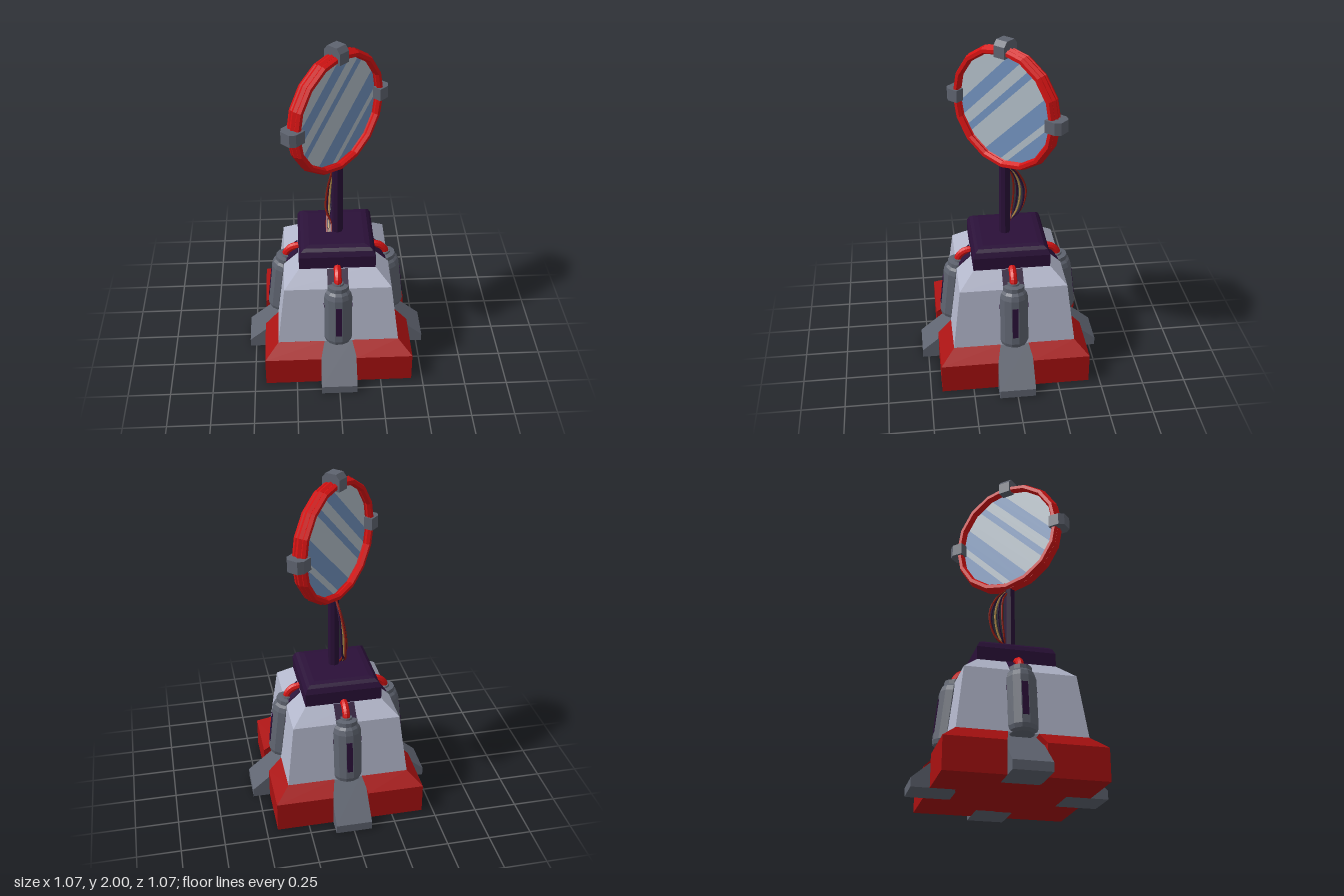
import * as THREE from 'three';

const mat = (name, color, extra = {}) =>
  Object.assign(new THREE.MeshStandardMaterial({ color, flatShading: true, ...extra }), { name });

// Closed solid through rectangular sections [y, x0, x1, z0, z1], bottom to top
function loft(sections) {
  const p = [];
  const rings = sections.map(([y, x0, x1, z0, z1]) => [[x0, y, z1], [x1, y, z1], [x1, y, z0], [x0, y, z0]]);
  const quad = (a, b, c, d) => p.push(...a, ...b, ...c, ...a, ...c, ...d);
  for (let i = 0; i < rings.length - 1; i++)
    for (let k = 0; k < 4; k++) {
      const n = (k + 1) % 4;
      quad(rings[i][k], rings[i][n], rings[i + 1][n], rings[i + 1][k]);
    }
  const [b, t] = [rings[0], rings[rings.length - 1]];
  quad(b[3], b[2], b[1], b[0]);
  quad(t[0], t[1], t[2], t[3]);
  const g = new THREE.BufferGeometry();
  g.setAttribute('position', new THREE.Float32BufferAttribute(p, 3));
  g.computeVertexNormals();
  return g;
}
const square = (y, h) => [y, -h, h, -h, h];
const v3 = (a) => new THREE.Vector3(...a);
const tube = (pts, r, seg, sides) =>
  new THREE.TubeGeometry(new THREE.CatmullRomCurve3(pts.map(v3)), seg, r, sides);

export function createModel() {
  const model = new THREE.Group();
  model.name = 'signalLamp';
  const baseRed = mat('base red', 0xa81010);
  const brightRed = mat('bright red', 0xd41212);
  const shell = mat('pale shell', 0xb2b6ca);
  const grey = mat('steel grey', 0x5e636f);
  const dark = mat('dark purple', 0x2a1038);
  const paleGlass = mat('pale glass', 0xb0bcc6, { side: THREE.DoubleSide });
  const blueGlass = mat('blue glass', 0x7090bc, { side: THREE.DoubleSide });
  const wireRed = mat('wire red', 0x8e1c12);
  const wireGold = mat('wire gold', 0xb08a48);

  const add = (parent, name, geo, m, pos = [0, 0, 0]) => {
    const mesh = new THREE.Mesh(geo, m);
    mesh.name = name;
    mesh.position.set(...pos);
    parent.add(mesh);
    return mesh;
  };

  // Base: core plus four bevelled corner blocks with slots between them
  add(model, 'baseCore', loft([square(0, 0.3), square(0.24, 0.3)]), baseRed);
  const corner = loft([
    [0, 0.105, 0.435, 0.105, 0.435],
    [0.18, 0.105, 0.435, 0.105, 0.435],
    [0.252, 0.082, 0.355, 0.082, 0.355],
  ]);

  // Body and cap
  add(model, 'body', loft([square(0.25, 0.355), square(0.61, 0.31), square(0.7, 0.215)]), shell);
  add(model, 'cap', loft([
    square(0.68, 0.222), square(0.77, 0.222), square(0.8, 0.208), square(0.815, 0.19), square(0.82, 0.16),
  ]), dark);

  // Ramp foot profile, drawn in (z, y) and extruded across x
  const footShape = new THREE.Shape(
    [[0.29, 0], [0.535, 0], [0.535, 0.05], [0.3, 0.248], [0.29, 0.248]].map((q) => new THREE.Vector2(...q)));
  const foot = new THREE.ExtrudeGeometry(footShape, { depth: 0.21, bevelEnabled: false });
  foot.translate(0, 0, -0.105).rotateY(-Math.PI / 2);

  // Canister outline
  const canister = new THREE.LatheGeometry(
    [[0, 0], [0.058, 0], [0.076, 0.012], [0.084, 0.035], [0.084, 0.315], [0.076, 0.345], [0.064, 0.36],
      [0.064, 0.385], [0.036, 0.39], [0.034, 0.4], [0, 0.4]].map((q) => new THREE.Vector2(...q)),
    12, Math.PI / 12);
  const pipe = tube([[0, 0.61, 0.3], [0, 0.655, 0.293], [0, 0.685, 0.265], [0, 0.695, 0.235], [0, 0.697, 0.2]], 0.022, 12, 8);

  // Everything repeated on the four sides
  for (let i = 0; i < 4; i++) {
    const side = new THREE.Group();
    side.name = 'side' + (i + 1);
    side.rotation.y = (i * Math.PI) / 2;
    model.add(side);
    add(side, 'baseCorner', corner, baseRed);
    add(side, 'foot', foot, grey);
    add(side, 'pipe', pipe, brightRed);
    const tab = add(side, 'capTab', new THREE.BoxGeometry(0.12, 0.12, 0.008), dark, [0, 0.65, 0.269]);
    tab.rotation.x = -0.81;
    const can = new THREE.Group();
    can.name = 'canister';
    can.position.set(0, 0.245, 0.335);
    can.rotation.x = -0.11;
    side.add(can);
    add(can, 'canisterShell', canister, grey);
    for (const a of [-1, 0, 1]) {
      const slot = add(can, 'canisterSlot', new THREE.BoxGeometry(0.034, 0.19, 0.008), dark,
        [Math.sin(a * Math.PI / 2) * 0.08, 0.175, Math.cos(a * Math.PI / 2) * 0.08]);
      slot.rotation.y = a * Math.PI / 2;
    }
  }

  // Pole
  add(model, 'pole', new THREE.CylinderGeometry(0.032, 0.032, 0.47, 8), dark, [0.01, 1.035, 0.018]);

  // Loose wires behind the pole
  [[wireRed, -0.11, -0.03], [dark, -0.095, -0.012], [wireGold, -0.075, -0.025],
    [dark, -0.06, -0.038], [wireRed, -0.04, -0.045]].forEach(([m, z, x], i) => {
    const e = 0.006 * (i - 2);
    add(model, 'wire', tube([
      [0.0, 1.25, 0.01 + e], [x * 0.4, 1.19, z * 0.55], [x, 1.07, z], [x - 0.01, 0.93, z * 0.75],
      [-0.04 + e, 0.855, -0.01], [-0.04 + e, 0.81, 0.045]], 0.006, 24, 5), m);
  });

  // Round lamp head, turned to face the diagonal
  const head = new THREE.Group();
  head.name = 'lampHead';
  head.position.set(0.005, 1.602, 0.012);
  head.rotation.y = Math.PI / 4;
  model.add(head);
  for (const z of [-0.025, 0, 0.025])
    add(head, 'rim', new THREE.TorusGeometry(z ? 0.336 : 0.342, 0.02, 6, 16), brightRed, [0, 0, z]);

  // Striped pane: each stripe is a chord-bounded slice of the disc
  const R = 0.33;
  const cuts = [R, 0.2, 0.13, 0.07, 0.03, -0.1, -0.2, -0.235, -R];
  for (let i = 0; i < cuts.length - 1; i++) {
    const a0 = Math.asin(cuts[i + 1] / R), a1 = Math.asin(cuts[i] / R), pts = [];
    for (let k = 0; k <= 6; k++) {
      const a = a0 + ((a1 - a0) * k) / 6;
      pts.push(new THREE.Vector2(R * Math.cos(a), R * Math.sin(a)));
    }
    const mirrored = pts.map((q) => new THREE.Vector2(-q.x, q.y)).reverse();
    const stripe = add(head, 'glassStripe', new THREE.ShapeGeometry(new THREE.Shape([...pts, ...mirrored])),
      i % 2 ? blueGlass : paleGlass);
    stripe.rotation.z = Math.PI / 4;
  }

  // Clamps on the top and both sides of the rim
  const clamp = loft([
    [0.305, -0.036, 0.036, -0.055, 0.055],
    [0.37, -0.036, 0.036, -0.055, 0.055],
    [0.398, -0.036, 0.036, -0.032, 0.032],
  ]);
  for (const a of [-1, 0, 1])
    add(head, 'clamp', clamp, grey).rotation.z = a * Math.PI / 2;

  return model;
}
